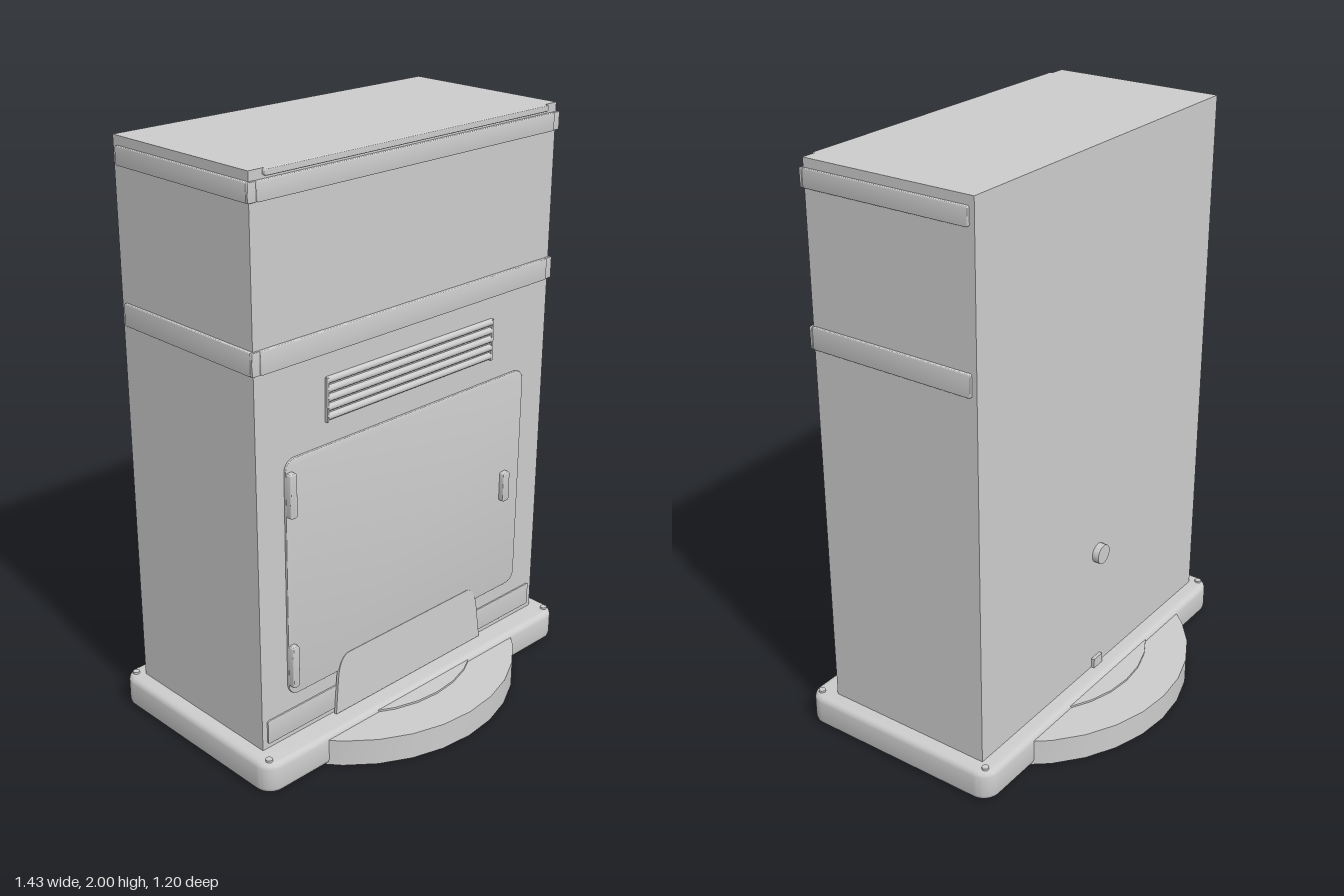
import * as THREE from 'three';
import { toCreasedNormals } from 'three/addons/utils/BufferGeometryUtils.js';

export function createModel() {
  const model = new THREE.Group();
  const grey = new THREE.MeshStandardMaterial({ color: 0xcccccc });
  grey.name = 'paintedSteel';

  const add = (name, geometry, x = 0, y = 0, z = 0) => {
    const mesh = new THREE.Mesh(geometry, grey);
    mesh.name = name;
    mesh.position.set(x, y, z);
    model.add(mesh);
    return mesh;
  };

  // Box given by its limits on each axis
  const box = (name, x0, x1, y0, y1, z0, z1) =>
    add(name, new THREE.BoxGeometry(x1 - x0, y1 - y0, z1 - z0),
      (x0 + x1) / 2, (y0 + y1) / 2, (z0 + z1) / 2);

  // Slab with rounded corners and softened edges, running from z = 0 to z = d
  const slab = (w, h, d, r, bevel) => {
    const a = w / 2 - bevel, b = h / 2 - bevel, c = Math.max(r - bevel, 0.001);
    const s = new THREE.Shape();
    s.absarc(a - c, b - c, c, 0, Math.PI / 2);
    s.absarc(-a + c, b - c, c, Math.PI / 2, Math.PI);
    s.absarc(-a + c, -b + c, c, Math.PI, Math.PI * 1.5);
    s.absarc(a - c, -b + c, c, Math.PI * 1.5, Math.PI * 2);
    s.closePath();
    const g = new THREE.ExtrudeGeometry(s, {
      depth: d - 2 * bevel, bevelThickness: bevel, bevelSize: bevel,
      bevelSegments: 3, curveSegments: 6,
    });
    g.translate(0, 0, bevel);
    return toCreasedNormals(g, 0.6);
  };

  // Foot: round pad, raised inner disc and soft-edged plinth
  add('roundPad', toCreasedNormals(new THREE.CylinderGeometry(0.6, 0.6, 0.095, 32), 0.5), 0, 0.0475, 0);
  add('innerDisc', toCreasedNormals(new THREE.CylinderGeometry(0.45, 0.45, 0.1, 32), 0.5), 0, 0.052, 0);
  add('plinth', slab(1.43, 0.77, 0.112, 0.06, 0.02), 0, 0, 0.005).rotation.x = -Math.PI / 2;
  for (const x of [-0.68, 0.68]) for (const z of [-0.345, 0.355]) {
    add('plinthBolt', new THREE.CylinderGeometry(0.012, 0.012, 0.008, 12), x, 0.115, z);
  }

  // Cabinet body
  box('cabinet', -0.66, 0.66, 0.1, 2, -0.318, 0.302);

  // Trim bands around the front and sides
  for (const [y0, y1] of [[1.4, 1.475], [1.91, 1.97]]) {
    add('frontBand', slab(1.28, y1 - y0, 0.015, 0.006, 0.003), 0, (y0 + y1) / 2, 0.3);
    for (const s of [-1, 1]) {
      const band = add('sideBand', slab(0.6, y1 - y0, 0.015, 0.006, 0.003), s * 0.655, (y0 + y1) / 2, 0);
      band.rotation.y = s * Math.PI / 2;
      add('cornerCap', slab(0.035, y1 - y0, 0.01, 0.005, 0.002), s * 0.653, (y0 + y1) / 2, 0.3);
    }
  }
  add('kickBand', slab(1.28, 0.085, 0.008, 0.006, 0.002), 0, 0.172, 0.3);

  // Rounded lip along the top front edge
  add('topLip', slab(1.22, 0.022, 0.018, 0.01, 0.005), 0, 1.989, 0.297);

  // Louvre vent
  for (let i = 0; i < 5; i++) {
    const slat = add('ventSlat', new THREE.CylinderGeometry(0.012, 0.012, 0.75, 12), 0, 1.19 + i * 0.03, 0.302);
    slat.rotation.z = Math.PI / 2;
  }
  for (const s of [-1, 1]) box('ventEnd', s * 0.376 - 0.004, s * 0.376 + 0.004, 1.175, 1.32, 0.295, 0.312);

  // Door with hinges and handle
  add('door', slab(1.095, 0.83, 0.012, 0.04, 0.003), -0.003, 0.685, 0.3);
  for (const y of [0.383, 0.985]) add('hinge', slab(0.028, 0.15, 0.032, 0.008, 0.004), -0.536, y, 0.3);
  add('handle', slab(0.032, 0.11, 0.032, 0.008, 0.004), 0.46, 0.682, 0.3);

  // Leaning apron plate in front of the door foot
  const apronShape = new THREE.Shape();
  apronShape.moveTo(-0.355, 0);
  apronShape.lineTo(0.355, 0);
  apronShape.lineTo(0.34, 0.13);
  apronShape.quadraticCurveTo(0.33, 0.205, 0.29, 0.21);
  apronShape.lineTo(-0.29, 0.21);
  apronShape.quadraticCurveTo(-0.33, 0.205, -0.34, 0.13);
  apronShape.closePath();
  const apron = add('apron', new THREE.ExtrudeGeometry(apronShape, { depth: 0.01, bevelEnabled: false }), 0, 0.115, 0.312);
  apron.rotation.x = -0.04;

  // Rear knob and cable stub
  const knob = add('rearKnob', toCreasedNormals(new THREE.CylinderGeometry(0.035, 0.035, 0.03, 20), 0.6), 0, 0.57, -0.327);
  knob.rotation.x = Math.PI / 2;
  box('rearStub', -0.025, 0.025, 0.105, 0.148, -0.33, -0.31);

  return model;
}
